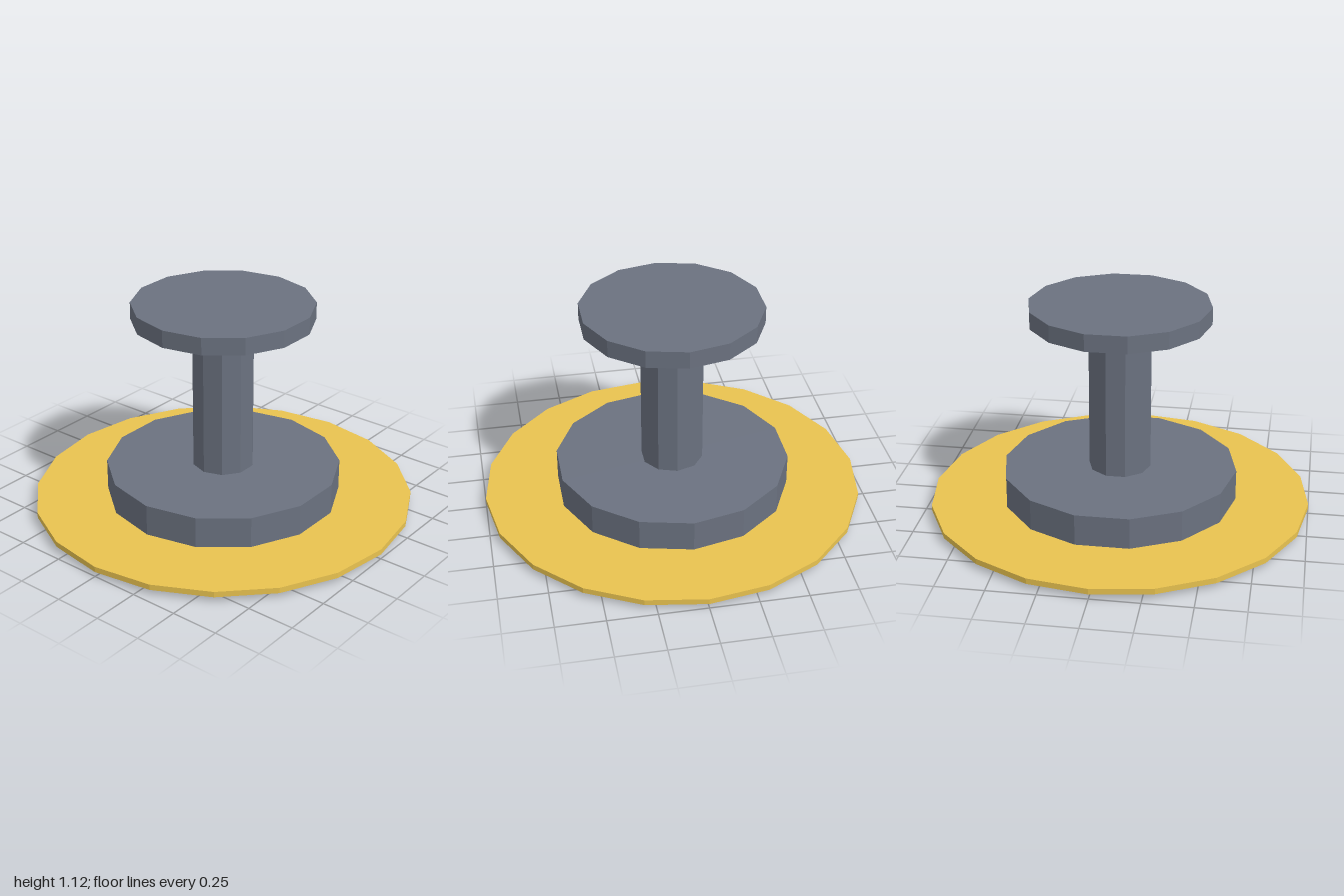
import * as THREE from 'three';

export function createModel() {
  const model = new THREE.Group();
  const steel = new THREE.MeshStandardMaterial({ color: 0x6b7280, flatShading: true });
  const gold = new THREE.MeshStandardMaterial({ color: 0xe9c350, flatShading: true });

  // Upright faceted disc or post between two heights
  function addDrum(name, radius, bottom, top, sides, material) {
    const geometry = new THREE.CylinderGeometry(radius, radius, top - bottom, sides);
    const mesh = new THREE.Mesh(geometry, material);
    mesh.name = name;
    mesh.position.y = (bottom + top) / 2;
    model.add(mesh);
  }

  addDrum('base', 0.617, 0, 0.22, 14, steel);
  addDrum('floorRing', 1, 0.025, 0.055, 20, gold);
  addDrum('column', 0.163, 0.22, 1.03, 10, steel);
  addDrum('topPlate', 0.47, 1.03, 1.12, 14, steel);

  return model;
}
